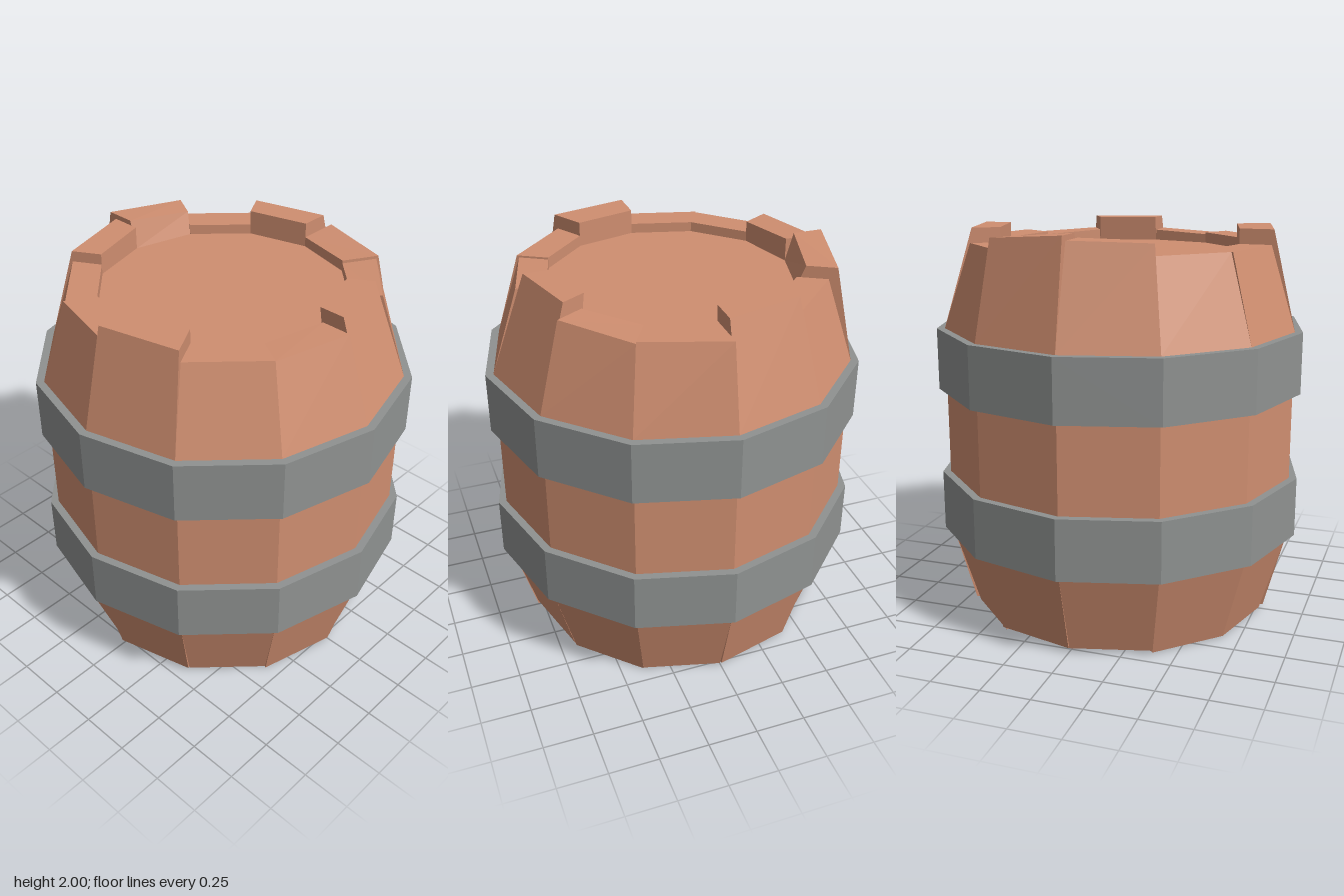
import * as THREE from 'three';

const STEP = Math.PI / 6;
const LID_Y = 1.86, BASE_Y = 0.08, BELLY = 0.9, INNER = 0.61;

// One row per stave, counter-clockwise from the front:
// top height at start and end, outer top radius at start and end, inner top radius, bottom height, bottom radius
const STAVES = [
  [1.985, 1.985, 0.72, 0.72, 0.59, 0.025, 0.78],
  [1.915, 1.9, 0.76, 0.79, 0.61, 0.0, 0.77],
  [1.915, 1.91, 0.8, 0.82, 0.61, 0.005, 0.77],
  [1.985, 1.985, 0.75, 0.75, 0.61, 0.025, 0.79],
  [1.91, 1.91, 0.76, 0.76, 0.61, 0.005, 0.77],
  [1.97, 2.0, 0.8, 0.8, 0.65, 0.025, 0.79],
  [1.975, 1.965, 0.76, 0.76, 0.61, 0.02, 0.78],
  [1.91, 1.91, 0.76, 0.76, 0.61, 0.005, 0.77],
  [1.91, 1.91, 0.77, 0.77, 0.61, 0.005, 0.77],
  [1.985, 1.985, 0.78, 0.79, 0.61, 0.025, 0.79],
  [1.915, 1.915, 0.77, 0.77, 0.61, 0.005, 0.77],
  [1.905, 1.915, 0.76, 0.76, 0.61, 0.005, 0.78],
];

// A solid stave spanning two radial cross-sections
function staveGeometry(i, [yA, yB, rA, rB, rIn, y0, r0]) {
  const section = (y, r) => [
    [r0, y0], [BELLY, 0.43], [BELLY, 1.49], [r, y],
    [rIn, y], [INNER, LID_Y], [INNER, BASE_Y], [INNER, y0],
  ];
  const place = (points, angle) =>
    points.map(([r, y]) => [r * Math.sin(angle), y, r * Math.cos(angle)]);
  const A = place(section(yA, rA), i * STEP);
  const B = place(section(yB, rB), (i + 1) * STEP);
  const n = A.length, pos = [];
  const tri = (a, b, c) => pos.push(...a, ...b, ...c);
  for (let j = 0; j < n; j++) {
    const k = (j + 1) % n;
    tri(A[j], B[j], B[k]);
    tri(A[j], B[k], A[k]);
  }
  // side faces, fanned from the lower belly corner
  for (let j = 2; j < n; j++) {
    const p = j, q = (j + 1) % n;
    tri(A[1], A[p], A[q]);
    tri(B[1], B[q], B[p]);
  }
  const geometry = new THREE.BufferGeometry();
  geometry.setAttribute('position', new THREE.Float32BufferAttribute(pos, 3));
  geometry.computeVertexNormals();
  return geometry;
}

export function createModel() {
  const model = new THREE.Group();
  model.name = 'barrel';
  const wood = new THREE.MeshStandardMaterial({ color: 0xcf8e70, flatShading: true });
  const metal = new THREE.MeshStandardMaterial({ color: 0x8f9291, flatShading: true });

  const add = (name, geometry, material, parent = model) => {
    const mesh = new THREE.Mesh(geometry, material);
    mesh.name = name;
    parent.add(mesh);
    return mesh;
  };

  // Uneven staves
  const staves = new THREE.Group();
  staves.name = 'staves';
  model.add(staves);
  STAVES.forEach((row, i) => add(`stave${i + 1}`, staveGeometry(i, row), wood, staves));

  // Recessed lid and base, joined as one core
  const core = add('lidAndBase',
    new THREE.CylinderGeometry(0.615, 0.615, LID_Y - BASE_Y, 12), wood);
  core.position.y = (LID_Y + BASE_Y) / 2;

  // Metal hoops
  const hoop = (name, y0, y1) => {
    const profile = [[0.88, y0], [0.94, y0], [0.94, y1], [0.88, y1], [0.88, y0]]
      .map(([r, y]) => new THREE.Vector2(r, y));
    add(name, new THREE.LatheGeometry(profile, 12), metal);
  };
  hoop('lowerHoop', 0.435, 0.74);
  hoop('upperHoop', 1.18, 1.49);

  return model;
}
